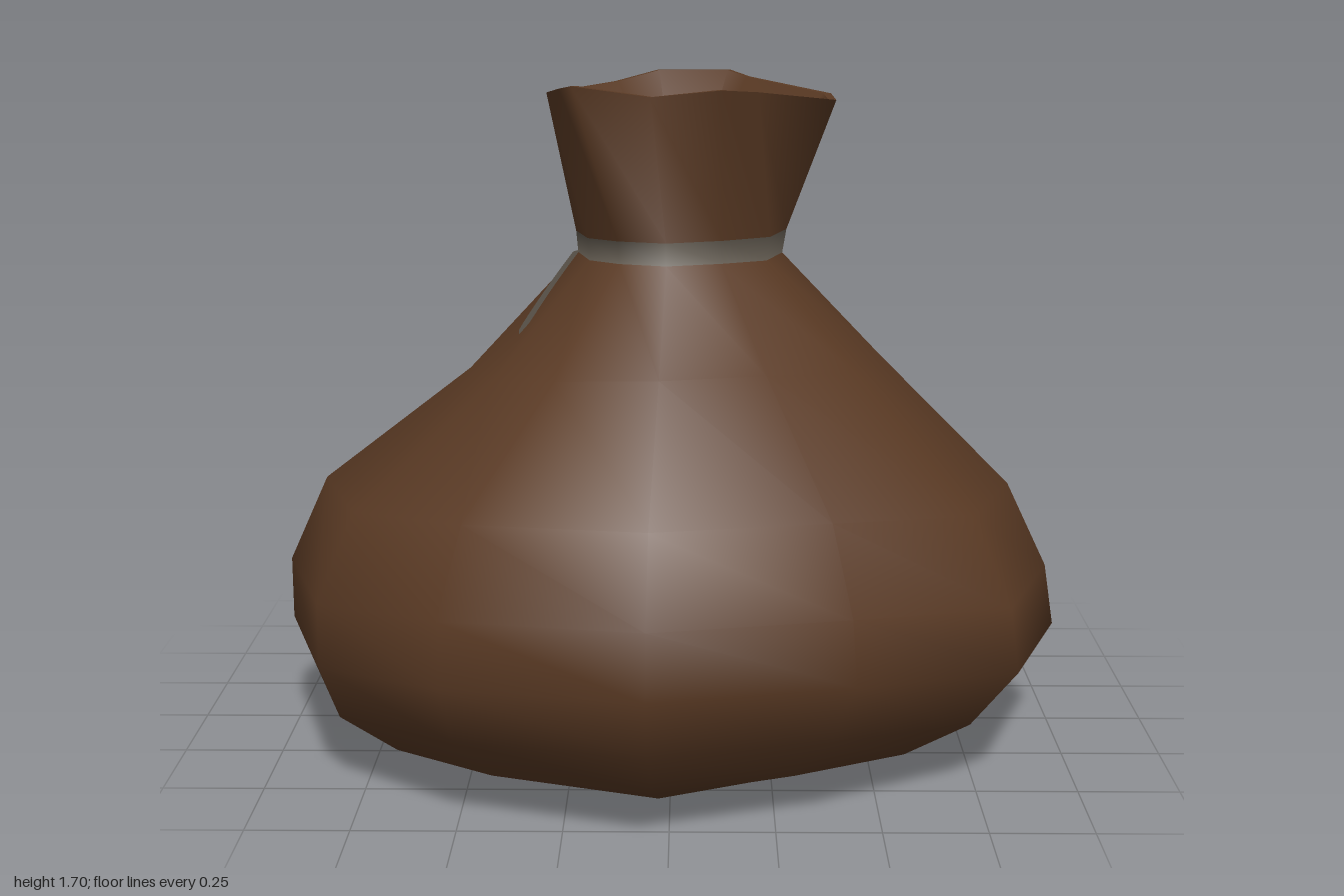
import * as THREE from 'three';

const SIDES = 12;
// Plan outline of the sack, starting at the back and running round by +x
const outline = [[-0.05, -1], [0.43, -0.83], [0.84, -0.45], [1, 0.04], [0.84, 0.54], [0.43, 0.82],
  [-0.05, 1], [-0.53, 0.82], [-0.85, 0.54], [-1, 0.03], [-0.85, -0.46], [-0.53, -0.83]];
// Rings from base to neck: reach and height toward +x, -x, +z, -z
const profile = [
  [0, 0, 0, 0, 0, 0, 0, 0],
  [0.46, 0.01, 0.55, 0.015, 0.6, 0.02, 0.49, 0.01],
  [0.69, 0.045, 0.80, 0.055, 0.78, 0.11, 0.74, 0.10],
  [0.87, 0.14, 0.95, 0.16, 0.92, 0.25, 0.92, 0.23],
  [1.0, 0.28, 1.0, 0.29, 0.97, 0.40, 0.97, 0.37],
  [0.975, 0.44, 1.0, 0.45, 0.96, 0.56, 0.97, 0.53],
  [0.87, 0.66, 0.90, 0.67, 0.86, 0.76, 0.86, 0.75],
  [0.53, 1.0, 0.52, 0.96, 0.56, 1.04, 0.50, 1.02],
  [0.28, 1.26, 0.24, 1.26, 0.31, 1.27, 0.22, 1.27],
  [0.29, 1.32, 0.245, 1.315, 0.305, 1.325, 0.23, 1.325],
];
// Gathered mouth, one point per column
const rim = [[0.15, 1.70, -0.31], [0.20, 1.69, -0.19], [0.40, 1.66, -0.02], [0.40, 1.66, 0.19],
  [0.21, 1.68, 0.21], [0.12, 1.70, 0.42], [-0.05, 1.67, 0.24], [-0.24, 1.70, 0.29],
  [-0.28, 1.68, 0.10], [-0.32, 1.66, -0.04], [-0.15, 1.68, -0.16], [-0.04, 1.70, -0.31]]
  .map((p) => new THREE.Vector3(...p));

function makeRing([rl, yl, rr, yr, rf, yf, rb, yb]) {
  return outline.map(([ux, uz]) => {
    const w = (uz * uz) / (ux * ux + uz * uz);
    const y = (ux > 0 ? yl : yr) * (1 - w) + (uz > 0 ? yf : yb) * w;
    return new THREE.Vector3(ux * (ux > 0 ? rl : rr), y, uz * (uz > 0 ? rf : rb));
  });
}

// Skin a stack of closed rings; materialOf gives the material index of each row
function skin(rings, materialOf = () => 0) {
  const geo = new THREE.BufferGeometry().setFromPoints(rings.flat());
  const index = [];
  for (let r = 0; r < rings.length - 1; r++) {
    geo.addGroup(index.length, SIDES * 6, materialOf(r));
    for (let c = 0; c < SIDES; c++) {
      const n = (c + 1) % SIDES;
      const a = r * SIDES + c, b = r * SIDES + n;
      index.push(a, a + SIDES, b + SIDES, a, b + SIDES, b);
    }
  }
  geo.setIndex(index);
  geo.computeVertexNormals();
  return geo;
}

// Point on the shoulder: u counts columns, v runs from the neck downward
function shoulder(rings, u, v) {
  const c = Math.floor(u), f = u - c;
  const at = (ring) => ring[c % SIDES].clone().lerp(ring[(c + 1) % SIDES], f);
  return at(rings[8]).lerp(at(rings[7]), v);
}

// Thin round-ended strip lying on the shoulder
function tail(rings, u0, u1, v1, width) {
  const steps = 12, points = [], index = [];
  const at = (t) => shoulder(rings, u0 + (u1 - u0) * t, v1 * t);
  for (let i = 0; i <= steps; i++) {
    const t = i / steps, p = at(t);
    const along = at(t + 0.01).sub(at(t - 0.01)).normalize();
    const across = shoulder(rings, u0 + (u1 - u0) * t + 0.01, v1 * t).sub(p);
    const normal = across.cross(along).normalize();
    if (normal.y < 0) normal.negate();
    const half = width * Math.sqrt(Math.max(0, 1 - Math.max(0, (t - 0.85) / 0.15) ** 2));
    const side = normal.clone().cross(along).multiplyScalar(half);
    p.addScaledVector(normal, 0.009);
    points.push(p.clone().add(side), p.clone().sub(side));
    if (i < steps) {
      const l = i * 2, r = l + 1;
      index.push(r, r + 2, l + 2, r, l + 2, l);
    }
  }
  const geo = new THREE.BufferGeometry().setFromPoints(points);
  geo.setIndex(index);
  geo.computeVertexNormals();
  return geo;
}

export function createModel() {
  const cloth = new THREE.MeshStandardMaterial({ color: 0x5a3a24 });
  cloth.name = 'brown cloth';
  const cord = new THREE.MeshStandardMaterial({ color: 0x5e574d });
  cord.name = 'grey cord';

  const group = new THREE.Group();
  group.name = 'sack';
  const add = (name, geo, material) => {
    const mesh = new THREE.Mesh(geo, material);
    mesh.name = name;
    group.add(mesh);
  };

  // Outer cloth, with the cord as one painted row at the neck
  const rings = profile.map(makeRing);
  add('sackBody', skin([...rings, rim], (r) => (r === 8 ? 1 : 0)), [cloth, cord]);

  // Mouth: narrow lip and the funnel inside
  const centre = new THREE.Vector3(0.02, 1.30, 0.03);
  const lip = rim.map((p) => new THREE.Vector3(
    centre.x + (p.x - centre.x) * 0.95, p.y, centre.z + (p.z - centre.z) * 0.95));
  add('mouthLip', skin([rim, lip]), cloth);
  add('mouthInside', skin([lip, rim.map(() => centre)]), cloth);

  // Loose cord ends on the shoulder
  add('cordTailLong', tail(rings, 9, 9, 0.8, 0.026), cord);
  add('cordTailShort', tail(rings, 8.9, 8.2, 0.65, 0.026), cord);
  return group;
}
